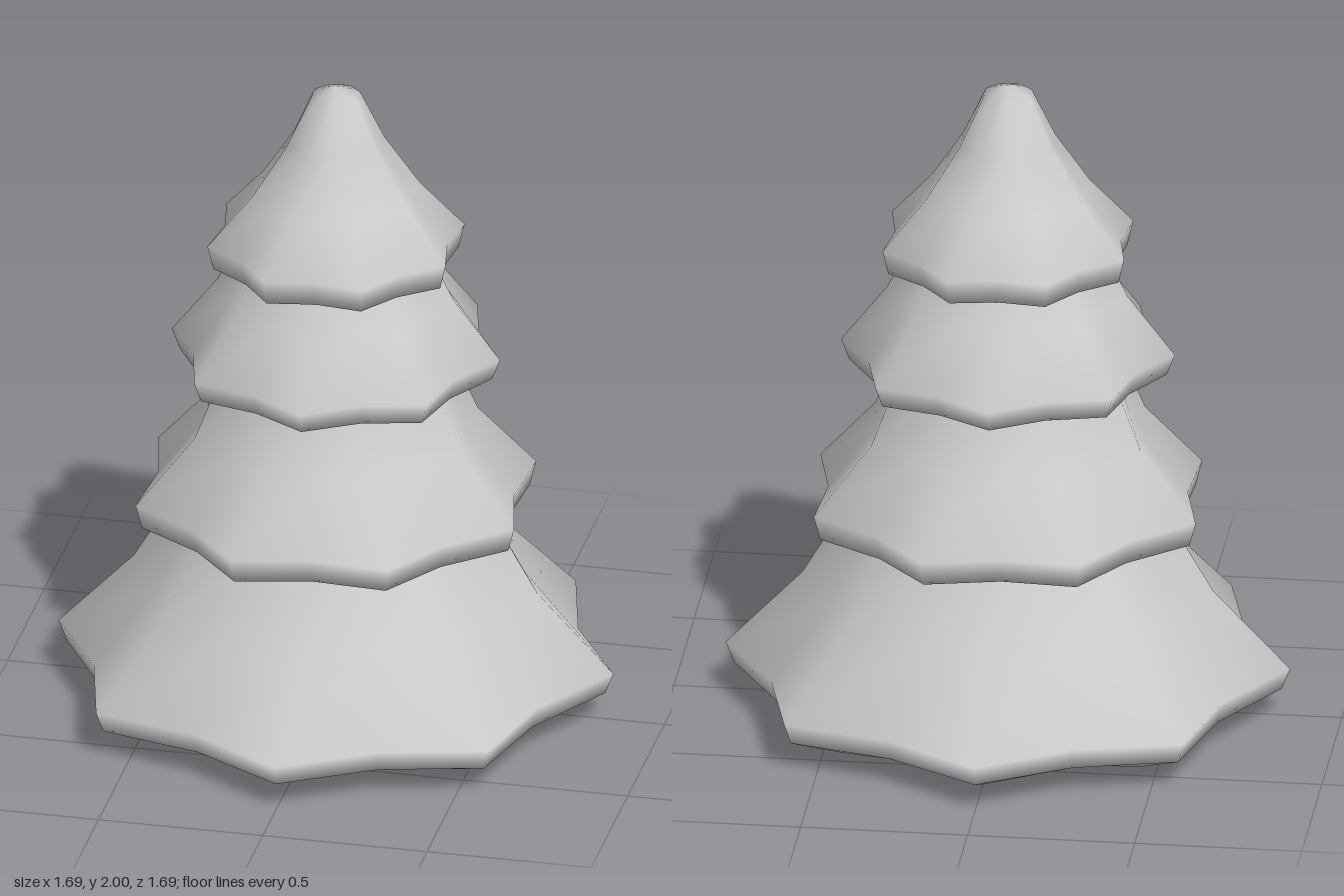
import * as THREE from 'three';

const POINTS = 8;
const SIDES = POINTS * 2;

// Each profile runs from the underside, round the rim and up the cone:
// [tip radius, height, valley/tip ratio, extra valley height]
const tiers = [
  { name: 'bottomBranches', turn: 0, profile: [
    [0.62, 0, 0.86, 0.025], [0.82, 0.085, 0.87], [0.845, 0.15, 0.865],
    [0.615, 0.39, 0.88], [0.48, 0.62, 0.9], [0.4, 0.74, 0.9]] },
  { name: 'lowerMiddleBranches', turn: 18, profile: [
    [0.4, 0.635, 0.9], [0.595, 0.615, 0.87], [0.615, 0.69, 0.87],
    [0.435, 0.89, 0.89], [0.355, 1.08, 0.91], [0.3, 1.2, 0.91]] },
  { name: 'upperMiddleBranches', turn: 0, profile: [
    [0.3, 1.1, 0.9], [0.475, 1.085, 0.87], [0.5, 1.15, 0.86],
    [0.36, 1.33, 0.89], [0.305, 1.44, 0.9], [0.25, 1.54, 0.9]] },
  { name: 'topBranches', turn: 21, profile: [
    [0.26, 1.455, 0.9], [0.372, 1.435, 0.87], [0.39, 1.51, 0.865],
    [0.255, 1.66, 0.88], [0.148, 1.82, 0.9], [0.074, 1.975, 0.95], [0, 2, 1]] },
];

// Smooth shell made of star-shaped rings with alternating tips and valleys
function starShell(profile, turn) {
  const positions = [];
  const index = [];
  for (const [radius, y, ratio, lift = 0] of profile) {
    for (let i = 0; i < SIDES; i++) {
      const a = THREE.MathUtils.degToRad(turn) + (i / SIDES) * Math.PI * 2;
      const valley = i % 2;
      const r = radius * (valley ? ratio : 1);
      positions.push(r * Math.cos(a), y + valley * lift, r * Math.sin(a));
    }
  }
  for (let j = 0; j < profile.length - 1; j++) {
    for (let i = 0; i < SIDES; i++) {
      const next = (i + 1) % SIDES;
      const a = j * SIDES + i, b = j * SIDES + next;
      const c = a + SIDES, d = b + SIDES;
      index.push(a, c, b);
      // A ring of zero radius closes to a point
      if (profile[j + 1][0] > 0) index.push(b, c, d);
    }
  }
  const geometry = new THREE.BufferGeometry();
  geometry.setAttribute('position', new THREE.Float32BufferAttribute(positions, 3));
  geometry.setIndex(index);
  geometry.computeVertexNormals();
  // The apex vertices share one upward normal
  const normal = geometry.attributes.normal;
  profile.forEach(([radius], j) => {
    if (radius > 0) return;
    for (let i = 0; i < SIDES; i++) normal.setXYZ(j * SIDES + i, 0, 1, 0);
  });
  return geometry;
}

export function createModel() {
  const tree = new THREE.Group();
  tree.name = 'tree';
  const material = new THREE.MeshStandardMaterial({ color: 0xcccccc, side: THREE.DoubleSide });
  for (const { name, turn, profile } of tiers) {
    const mesh = new THREE.Mesh(starShell(profile, turn), material);
    mesh.name = name;
    tree.add(mesh);
  }
  return tree;
}
